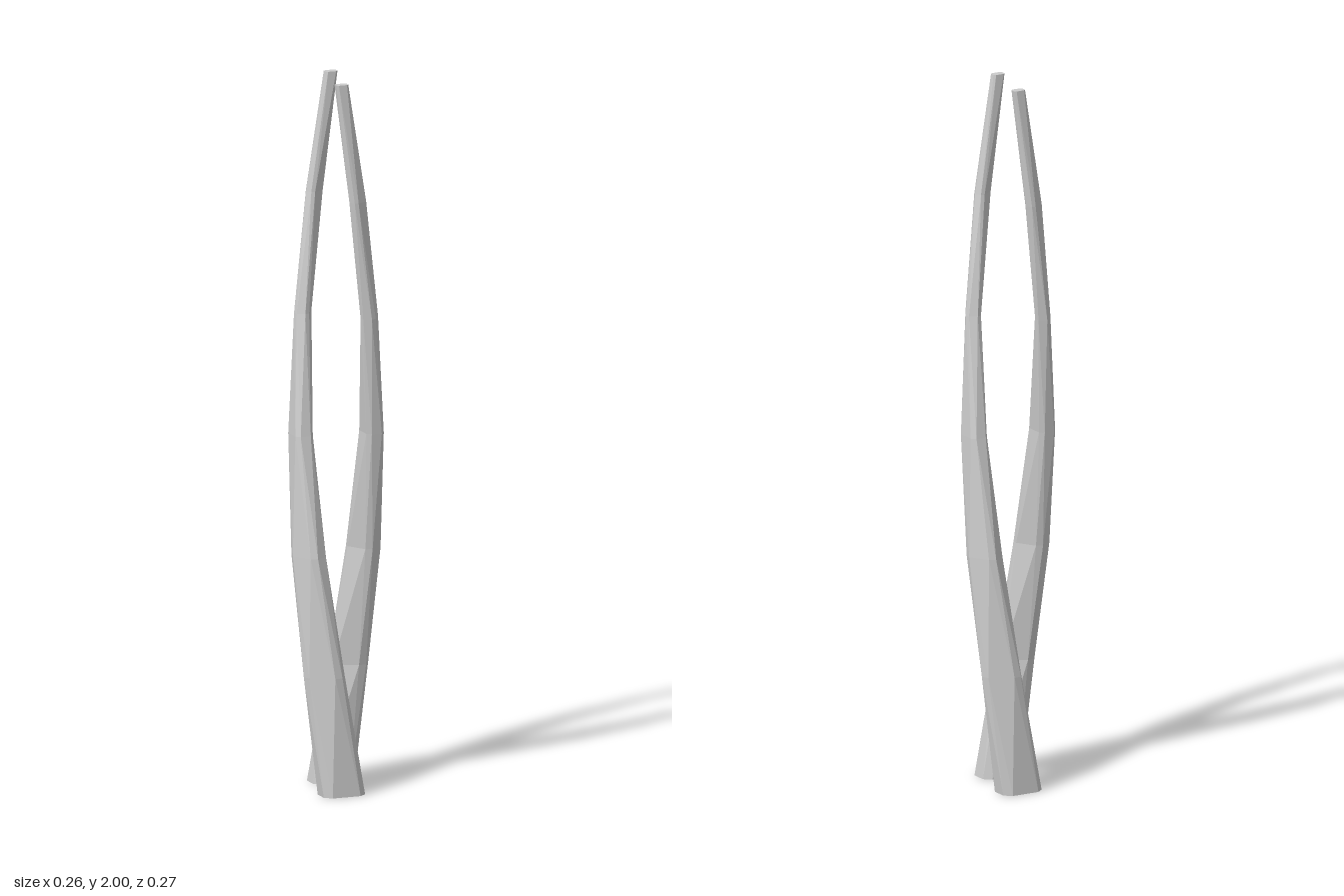
import * as THREE from 'three';

const LEVELS = 6;      // straight segments along each strand
const HEIGHT = 2;
const TILT = 0.21;     // constant yaw of the section against its path

// chamfered rectangle: [along the path circle, outward]
const SECTION = [
  [0.061, -0.023], [0.061, 0.023], [0.041, 0.04], [-0.041, 0.04],
  [-0.061, 0.023], [-0.061, -0.023], [-0.041, -0.04], [0.041, -0.04],
];

// One tapering strand making half a turn around the y axis
function strandGeometry() {
  const n = SECTION.length, pos = [], index = [];
  const c = Math.cos(TILT), s = Math.sin(TILT);
  for (let i = 0; i <= LEVELS; i++) {
    const t = i / LEVELS, a = Math.PI * t;
    const scale = 1 - 0.71 * t;
    const radius = 0.088 + 0.011 * Math.sin(a);
    for (const [lu, lv] of SECTION) {
      const u = scale * (lu * c - lv * s);
      const v = radius + scale * (lu * s + lv * c);
      pos.push(-u * Math.cos(a) - v * Math.sin(a), t * HEIGHT, -u * Math.sin(a) + v * Math.cos(a));
    }
  }
  // sides
  for (let i = 0; i < LEVELS; i++) {
    for (let j = 0; j < n; j++) {
      const k = (j + 1) % n, p = i * n, q = p + n;
      index.push(p + j, p + k, q + k, p + j, q + k, q + j);
    }
  }
  // closed tip; the foot stays open
  const top = LEVELS * n;
  for (let j = 1; j < n - 1; j++) index.push(top, top + j, top + j + 1);

  const geo = new THREE.BufferGeometry();
  geo.setAttribute('position', new THREE.Float32BufferAttribute(pos, 3));
  geo.setIndex(index);
  const flat = geo.toNonIndexed();
  flat.computeVertexNormals();
  return flat;
}

export function createModel() {
  const group = new THREE.Group();
  group.name = 'twistedStrands';
  const material = new THREE.MeshStandardMaterial({
    color: 0xcccccc, flatShading: true, side: THREE.DoubleSide,
  });
  const geo = strandGeometry();
  // two strands, half a turn apart
  ['frontStrand', 'backStrand'].forEach((name, i) => {
    const strand = new THREE.Mesh(geo, material);
    strand.name = name;
    strand.rotation.y = i * Math.PI;
    group.add(strand);
  });
  return group;
}
